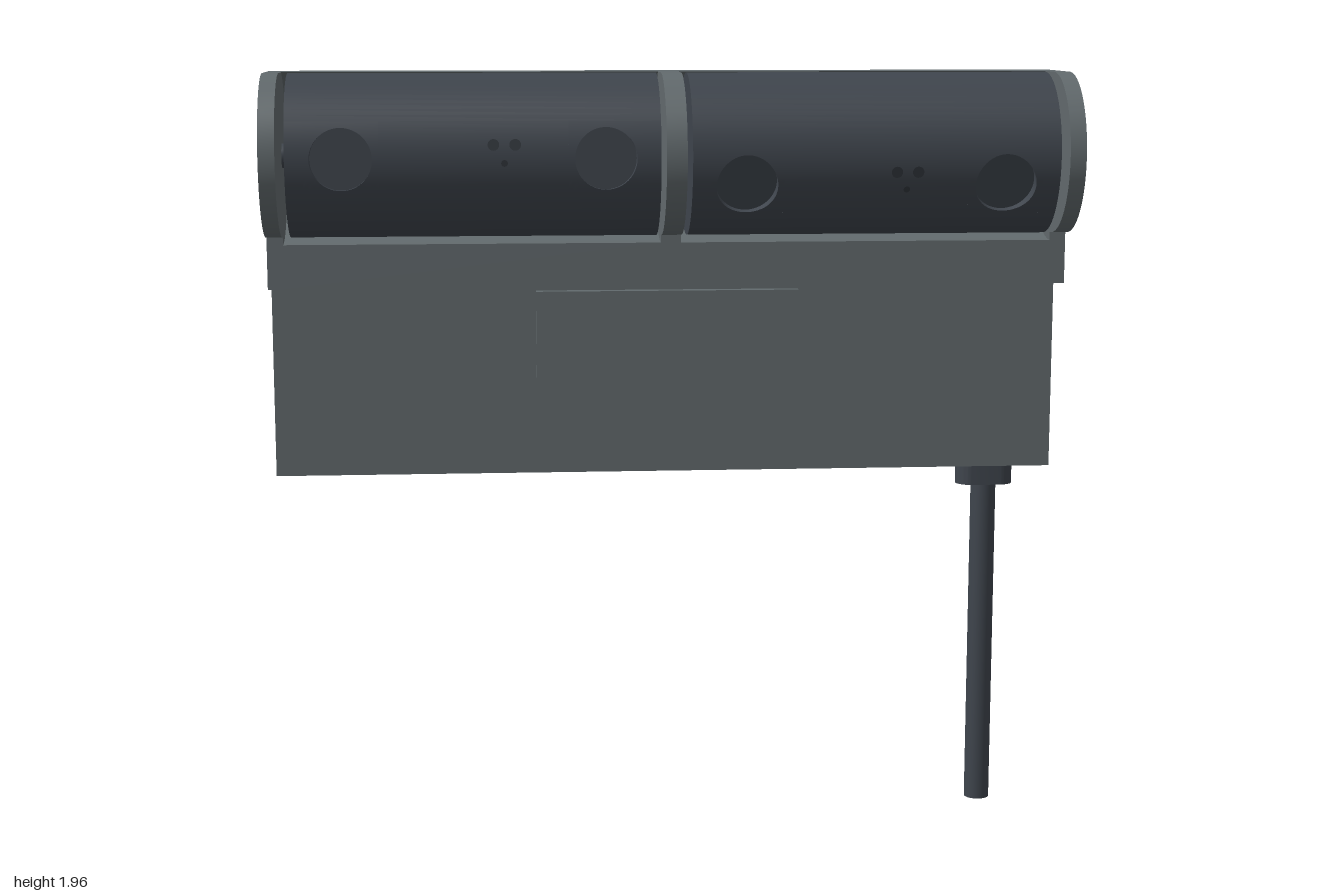
import * as THREE from 'three';
import { toCreasedNormals } from 'three/addons/utils/BufferGeometryUtils.js';
import { ParametricGeometry } from 'three/addons/geometries/ParametricGeometry.js';

const R = 0.2, AXIS_Y = 1.76, AXIS_Z = 0.1; // roller radius and axis
const LENS = 0.075, PATCH = 0.09;           // lens hole radius, half size of the patch around it
const FLOOR = 0.17;                         // lens floor distance from the axis

export function createModel() {
  const model = new THREE.Group();
  const mat = (name, color) => Object.assign(new THREE.MeshStandardMaterial({ color }), { name });
  const casing = mat('casing grey', 0x626a6d);
  const dark = mat('roller charcoal', 0x3f454d);
  const hole = mat('pinhole black', 0x30353b);

  const add = (parent, name, geo, material, x = 0, y = 0, z = 0) => {
    const mesh = new THREE.Mesh(geo, material);
    mesh.name = name;
    mesh.position.set(x, y, z);
    parent.add(mesh);
    return mesh;
  };

  // Side profile of the casing, drawn with horizontal = -z; optionally with the roller well cut out
  const profile = (well) => {
    const s = new THREE.Shape();
    s.moveTo(0.015, 0.94);
    s.lineTo(0.1, 0.94);
    s.absarc(0.1, 1.14, 0.2, -Math.PI / 2, 0, false);
    s.lineTo(0.3, 1.81);
    s.absarc(0.15, 1.81, 0.15, 0, Math.PI / 2, false);
    if (well) s.absarc(-AXIS_Z, AXIS_Y, 0.22, Math.asin(R / 0.22), -Math.PI / 2, true);
    else s.absarc(-AXIS_Z, AXIS_Y, R, Math.PI / 2, Math.PI * 1.5, false);
    s.lineTo(-0.1, 1.43);
    s.lineTo(0.015, 1.43);
    s.closePath();
    return s;
  };
  const casingSlice = (name, x0, x1, well) => {
    const geo = new THREE.ExtrudeGeometry(profile(well), { depth: x1 - x0, bevelEnabled: false, curveSegments: 32 });
    geo.rotateY(Math.PI / 2);
    add(model, name, toCreasedNormals(geo, 0.5), casing, x0);
  };
  casingSlice('rightEndCheek', -1, -0.96, false);
  casingSlice('rightWell', -0.96, -0.025, true);
  casingSlice('middleDivider', -0.025, 0.025, false);
  casingSlice('leftWell', 0.025, 0.96, true);
  casingSlice('leftEndCheek', 0.96, 1, false);
  add(model, 'frontPlate', new THREE.BoxGeometry(0.67, 0.22, 0.04), casing, 0, 1.3, -0.005);

  // Roller surface height at local y
  const surfaceZ = (y) => Math.sqrt(R * R - y * y);
  const tube = (r, length, start, sweep, segments) =>
    new THREE.CylinderGeometry(r, r, length, segments, 1, true, start, sweep).rotateZ(Math.PI / 2);

  // Curved square patch with a round hole
  const patchGeo = new ParametricGeometry((u, v, p) => {
    const a = u * Math.PI * 2, c = Math.cos(a), s = Math.sin(a);
    const outer = PATCH / Math.max(Math.abs(c), Math.abs(s));
    const r = outer + (LENS - outer) * v;
    p.set(r * c, r * s, surfaceZ(r * s));
  }, 48, 3);
  // Wall of the hole
  const wallGeo = new ParametricGeometry((u, v, p) => {
    const a = u * Math.PI * 2, x = LENS * Math.cos(a), y = LENS * Math.sin(a);
    p.set(x, y, surfaceZ(y) + (FLOOR - surfaceZ(y)) * v);
  }, 48, 1);

  // Camera roller with two recessed lenses and three pinholes
  const roller = (name, x, tilt) => {
    const g = new THREE.Group();
    g.name = name;
    g.position.set(x, AXIS_Y, AXIS_Z);
    g.rotation.x = tilt;
    model.add(g);
    const half = 0.45, lensX = 0.317, a = Math.asin(PATCH / R);
    add(g, 'rollerShell', tube(R, half * 2, a, Math.PI * 2 - 2 * a, 64), dark);
    const bands = [[-half, -lensX - PATCH], [-lensX + PATCH, lensX - PATCH], [lensX + PATCH, half]];
    for (const [x0, x1] of bands)
      add(g, 'rollerFrontBand', tube(R, x1 - x0, -a, 2 * a, 12), dark, (x0 + x1) / 2);
    for (const side of [-1, 1]) {
      add(g, 'rollerEnd', new THREE.CircleGeometry(R, 64), dark, side * half).rotation.y = side * Math.PI / 2;
      add(g, 'lensSurround', patchGeo, dark, side * lensX);
      add(g, 'lensWall', wallGeo, dark, side * lensX);
      add(g, 'lens', new THREE.CircleGeometry(LENS, 48), dark, side * lensX, 0, FLOOR);
    }
    for (const [dx, y, r] of [[-0.026, 0.034, 0.014], [0.026, 0.034, 0.014], [0, -0.01, 0.008]]) {
      const dot = add(g, 'pinhole', new THREE.CircleGeometry(r, 20), hole, 0.073 + dx, y, surfaceZ(y) + 0.001);
      dot.rotation.x = -Math.asin(y / R);
    }
    add(g, 'axle', new THREE.CylinderGeometry(0.03, 0.03, 0.936, 24).rotateZ(Math.PI / 2), dark);
  };
  roller('rightRoller', -0.488, 0);
  roller('leftRoller', 0.488, 0.35);

  // Cable with its rounded socket
  const socket = new THREE.Shape();
  socket.absarc(0.035, 0, 0.04, -Math.PI / 2, Math.PI / 2, false);
  socket.absarc(-0.035, 0, 0.04, Math.PI / 2, Math.PI * 1.5, false);
  const socketGeo = new THREE.ExtrudeGeometry(socket, { depth: 0.13, bevelEnabled: false, curveSegments: 16 });
  socketGeo.rotateX(-Math.PI / 2);
  add(model, 'cableSocket', toCreasedNormals(socketGeo, 0.5), dark, 0.858, 0.87, -0.16);
  add(model, 'cable', new THREE.CylinderGeometry(0.033, 0.033, 0.9, 32), dark, 0.858, 0.45, -0.16);

  return model;
}
